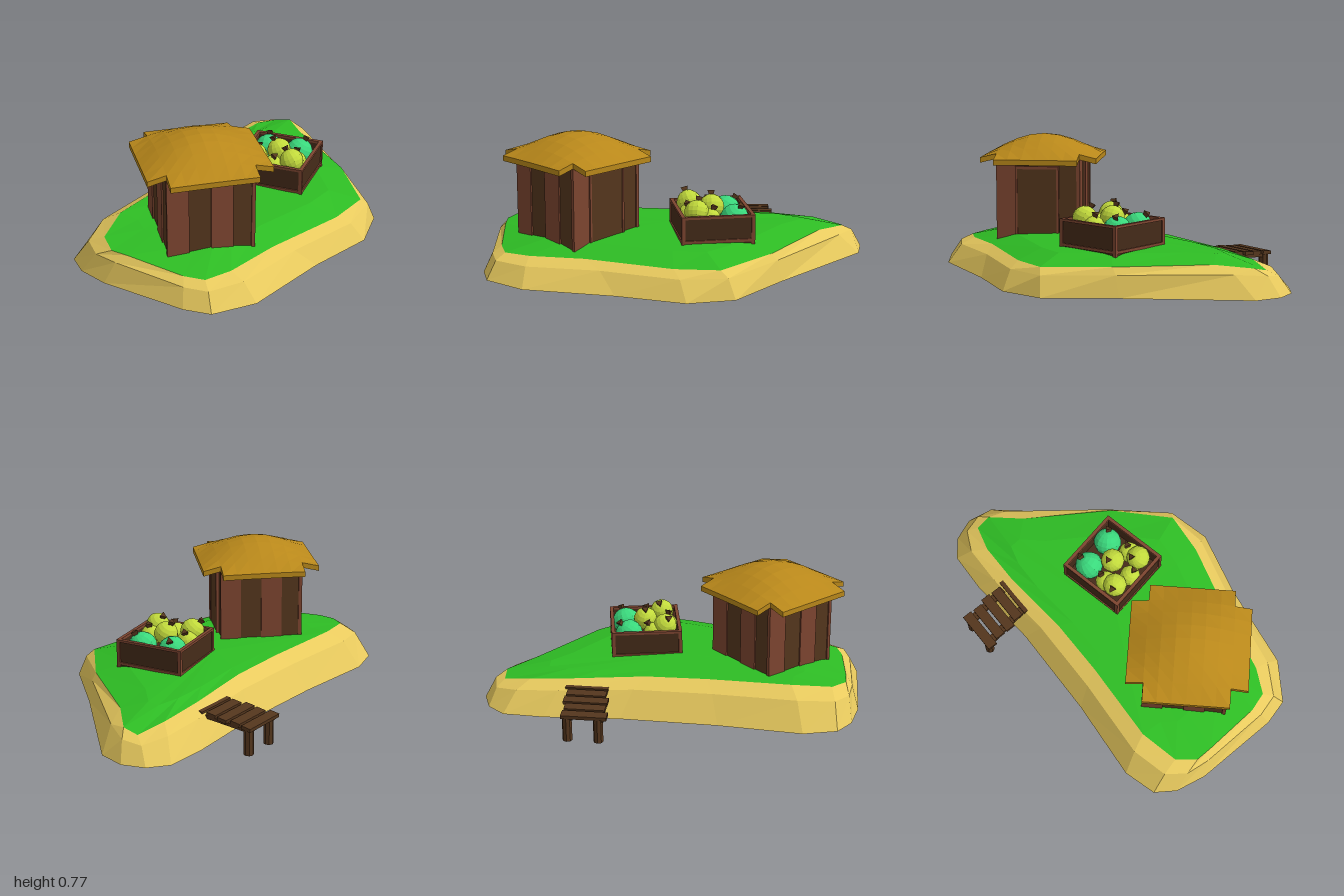
import * as THREE from 'three';

const mat = (color, side = THREE.FrontSide) =>
  new THREE.MeshStandardMaterial({ color, flatShading: true, side });
const SAND = mat(0xe8ca5e, THREE.DoubleSide), GRASS = mat(0x2ebd24, THREE.DoubleSide);
const RED = mat(0x7d4530), DARK = mat(0x54361d), DEEP = mat(0x452b19), THATCH = mat(0xb9881a);
const LIME = mat(0xc2da3c), TEAL = mat(0x3ad87c);

function add(parent, name, geo, material, x = 0, y = 0, z = 0) {
  const m = new THREE.Mesh(geo, material);
  m.name = name;
  m.position.set(x, y, z);
  parent.add(m);
  return m;
}
const box = (w, h, d, ...seg) => new THREE.BoxGeometry(w, h, d, ...seg);

// Joins closed rings of equal point count into a skin
function loft(rings) {
  const n = rings[0].length, index = [];
  for (let r = 0; r < rings.length - 1; r++)
    for (let i = 0; i < n; i++) {
      const j = (i + 1) % n, a = r * n + i, b = r * n + j, c = a + n, d = b + n;
      index.push(a, c, b, b, c, d);
    }
  const g = new THREE.BufferGeometry();
  g.setAttribute('position', new THREE.Float32BufferAttribute(rings.flat(2), 3));
  g.setIndex(index);
  g.computeVertexNormals();
  return g;
}

// Shoreline x, z and matching grass rim x, z, y
const OUTLINE = [
  [.6, -1, .625, -.87, .16], [.72, -.945, .69, -.81, .18], [.805, -.82, .69, -.6, .195],
  [.83, -.13, .785, -.09, .19], [.865, .27, .77, .285, .18], [.725, .49, .575, .435, .175],
  [.385, .675, .14, .66, .18], [-.03, .955, -.13, .82, .17], [-.28, .995, -.28, .865, .165],
  [-.41, .915, -.38, .81, .17], [-.755, .565, -.63, .585, .2], [-.85, .415, -.7, .515, .2],
  [-.87, .285, -.715, .39, .215], [-.77, .12, -.59, .2, .24], [-.4, -.17, -.23, -.1, .235],
  [.005, -.53, .02, -.33, .23], [.295, -.84, .295, -.63, .21], [.47, -.99, .48, -.795, .19],
];

function island() {
  const g = new THREE.Group();
  g.name = 'island';
  const shore = OUTLINE.map(([x, z]) => [x, .037, z]);
  const rim = OUTLINE.map(([, , x, z, y]) => [x, y, z]);
  const slope = shore.map(([x, , z], i) =>
    [(x + rim[i][0]) / 2, .04 + .75 * (rim[i][1] - .04), (z + rim[i][2]) / 2]);
  const cx = .1, cz = 0;
  const lawn = rim.map(([x, y, z]) => [cx + (x - cx) * .75, .75 * .24 + .25 * y, cz + (z - cz) * .75]);
  const centre = rim.map(() => [cx, .245, cz]);
  add(g, 'sand', loft([shore, slope, rim]), SAND);
  add(g, 'grass', loft([rim, lawn, centre]), GRASS);
  return g;
}

function hut() {
  const g = new THREE.Group();
  g.name = 'hut';
  g.position.set(-.1925, 0, .416);
  add(g, 'hutCore', box(.445, .51, .445), DEEP, 0, .405, 0);
  // Four walls of upright planks, alternately proud and set back
  for (let s = 0; s < 4; s++) {
    const wall = new THREE.Group();
    wall.name = 'wall';
    wall.rotation.y = s * Math.PI / 2;
    for (let i = 0; i < 4; i++) {
      const red = i % 2 === 0;
      add(wall, 'wallPlank', box(.1185, .5, .02), red ? RED : DARK,
        (i - 1.5) * .1185, .4, red ? .228 : .22);
    }
    g.add(wall);
  }
  // Door on the side wall
  add(g, 'door', box(.025, .44, .225), DARK, .23, .375, .005);
  for (const z of [-.112, .122]) add(g, 'doorFrame', box(.03, .46, .012), RED, .232, .38, z);
  add(g, 'doorLintel', box(.03, .016, .234), RED, .232, .602, .005);

  // Thatch pieces share one dome that runs out level at every eave
  const fall = (t) => Math.cos(t / .335 * Math.PI / 2);
  const thatch = (name, w, d, sx, sz, x, z) => {
    const geo = box(w, .03, d, sx, 1, sz).translate(x, 0, z);
    const p = geo.attributes.position;
    for (let i = 0; i < p.count; i++)
      p.setY(i, p.getY(i) + .64 + .12 * fall(p.getX(i)) * fall(p.getZ(i)));
    geo.computeVertexNormals();
    add(g, name, geo, THATCH);
  };
  thatch('roof', .47, .47, 6, 6, 0, 0);
  for (const s of [-1, 1]) {
    thatch('sideEave', .1, .47, 1, 6, s * .285, 0);
    thatch('endEave', .47, .095, 6, 1, 0, s * .2825);
  }
  return g;
}

function crate() {
  const g = new THREE.Group();
  g.name = 'crate';
  g.position.set(.387, 0, -.045);
  g.rotation.y = -.615;
  add(g, 'crateFloor', box(.37, .1, .37), DEEP, 0, .22, 0);
  // Dark panels held in a thin frame
  for (let s = 0; s < 4; s++) {
    const side = new THREE.Group();
    side.name = 'crateSide';
    side.rotation.y = s * Math.PI / 2;
    add(side, 'cratePanel', box(.375, .2, .012), DEEP, 0, .273, .187);
    add(side, 'topRail', box(.4, .014, .02), RED, 0, .373, .19);
    add(side, 'bottomRail', box(.4, .016, .02), RED, 0, .24, .19);
    add(side, 'cornerPost', box(.02, .21, .02), RED, .19, .275, .19);
    g.add(side);
  }
  return g;
}

// Ribbed melon with a flared stalk, leaning along lx, lz
function melon(parent, x, y, z, r, material, lx, lz) {
  const g = new THREE.Group();
  g.name = 'melon';
  g.position.set(x, y, z);
  g.quaternion.setFromUnitVectors(new THREE.Vector3(0, 1, 0), new THREE.Vector3(lx, 1, lz).normalize());
  const geo = new THREE.SphereGeometry(r, 16, 9);
  const p = geo.attributes.position;
  for (let i = 0; i < p.count; i++) {
    const k = (i % 17) % 2 ? .97 : 1;
    p.setXYZ(i, p.getX(i) * k, p.getY(i) * .97, p.getZ(i) * k);
  }
  geo.computeVertexNormals();
  add(g, 'melonSkin', geo, material);
  add(g, 'stalk', new THREE.CylinderGeometry(.024, .012, .034, 3), DARK, 0, r + .002, 0);
  parent.add(g);
}

function dock() {
  const g = new THREE.Group();
  g.name = 'dock';
  g.position.set(.122, 0, -.668);
  g.rotation.y = .75;
  // Deck rises gently towards the shore, each plank stepping a little sideways
  const deck = new THREE.Group();
  deck.name = 'deck';
  deck.position.y = .168;
  deck.rotation.x = -.09;
  const lengths = [.25, .225, .245, .22, .24, .25];
  lengths.forEach((l, i) =>
    add(deck, 'deckPlank', box(l, .02, .058), DARK, (i - 2.5) * .009, 0, (i - 2.5) * .073));
  for (const s of [-1, 1]) {
    const beam = add(deck, 'deckBeam', box(.045, .018, .38), DARK, s * .085, -.017, -.01);
    beam.rotation.y = .12;
    add(g, 'outerPost', new THREE.CylinderGeometry(.027, .027, .14, 8), DARK, s * .085 - .012, .07, -.18);
    add(g, 'shorePost', new THREE.CylinderGeometry(.027, .027, .06, 8), DARK, s * .085 + .015, .13, .13);
  }
  g.add(deck);
  return g;
}

export function createModel() {
  const model = new THREE.Group();
  model.name = 'islandScene';
  model.add(island(), hut(), crate(), dock());

  const fruit = new THREE.Group();
  fruit.name = 'melons';
  melon(fruit, .365, .333, -.18, .08, TEAL, .3, -.7);
  melon(fruit, .52, .333, -.085, .08, TEAL, .55, 0);
  melon(fruit, .235, .382, -.02, .068, LIME, -.8, -.2);
  melon(fruit, .385, .382, -.045, .068, LIME, -.4, -.3);
  melon(fruit, .415, .382, .1, .068, LIME, -.4, -.6);
  melon(fruit, .27, .342, -.075, .06, LIME, .3, -.5);
  melon(fruit, .315, .342, .06, .06, LIME, .1, .3);
  melon(fruit, .46, .342, .045, .06, LIME, .2, -.2);
  model.add(fruit);
  return model;
}
